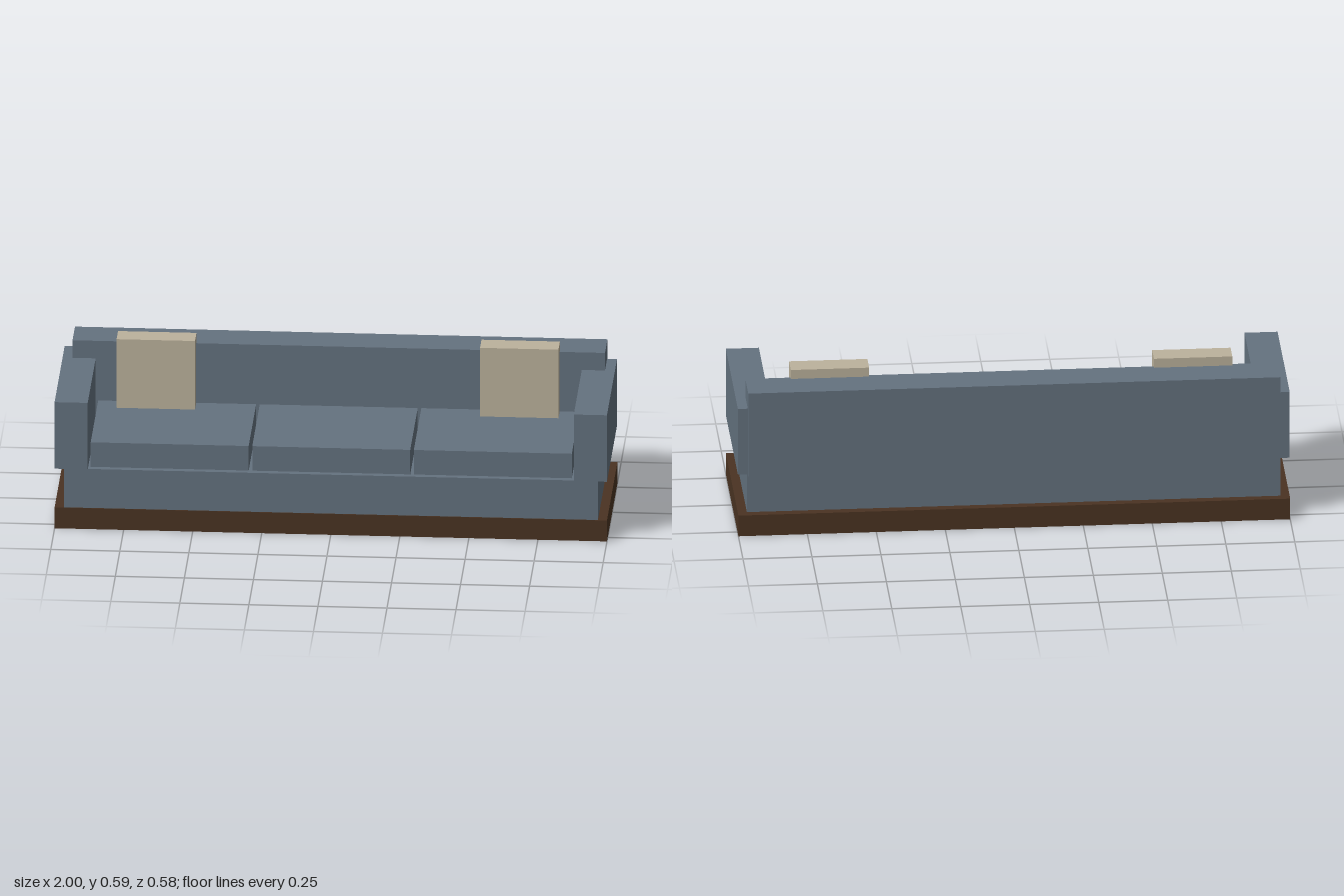
import * as THREE from 'three';

const slate = new THREE.MeshStandardMaterial({ name: 'slateFabric', color: 0x64727f });
const brown = new THREE.MeshStandardMaterial({ name: 'darkWood', color: 0x4a3322 });
const beige = new THREE.MeshStandardMaterial({ name: 'beigeFabric', color: 0xbcb29c });

// Box given by its [min, max] extent along each axis
function box(name, material, [x0, x1], [y0, y1], [z0, z1]) {
  const mesh = new THREE.Mesh(new THREE.BoxGeometry(x1 - x0, y1 - y0, z1 - z0), material);
  mesh.position.set((x0 + x1) / 2, (y0 + y1) / 2, (z0 + z1) / 2);
  mesh.name = name;
  return mesh;
}

export function createModel() {
  const sofa = new THREE.Group();
  sofa.name = 'sofa';

  // Wooden plinth, upholstered base and backrest
  sofa.add(
    box('plinth', brown, [-1, 1], [0, 0.081], [-0.29, 0.289]),
    box('seatBase', slate, [-0.967, 0.967], [0.081, 0.232], [-0.26, 0.286]),
    box('backrest', slate, [-0.964, 0.964], [0.232, 0.558], [-0.288, -0.152]),
  );

  // Three seat cushions with narrow gaps
  for (const x of [-0.585, 0, 0.585]) {
    sofa.add(box('seatCushion', slate, [x - 0.286, x + 0.286], [0.232, 0.327], [-0.155, 0.264]));
  }

  // Armrests and throw pillows, mirrored
  for (const [side, s] of [['left', 1], ['right', -1]]) {
    const span = (a, b) => (s > 0 ? [a, b] : [-b, -a]);
    sofa.add(
      box(side + 'Armrest', slate, span(0.88, 1), [0.232, 0.49], [-0.267, 0.291]),
      box(side + 'Pillow', beige, span(0.516, 0.8), [0.327, 0.593], [-0.165, -0.084]),
    );
  }
  return sofa;
}
